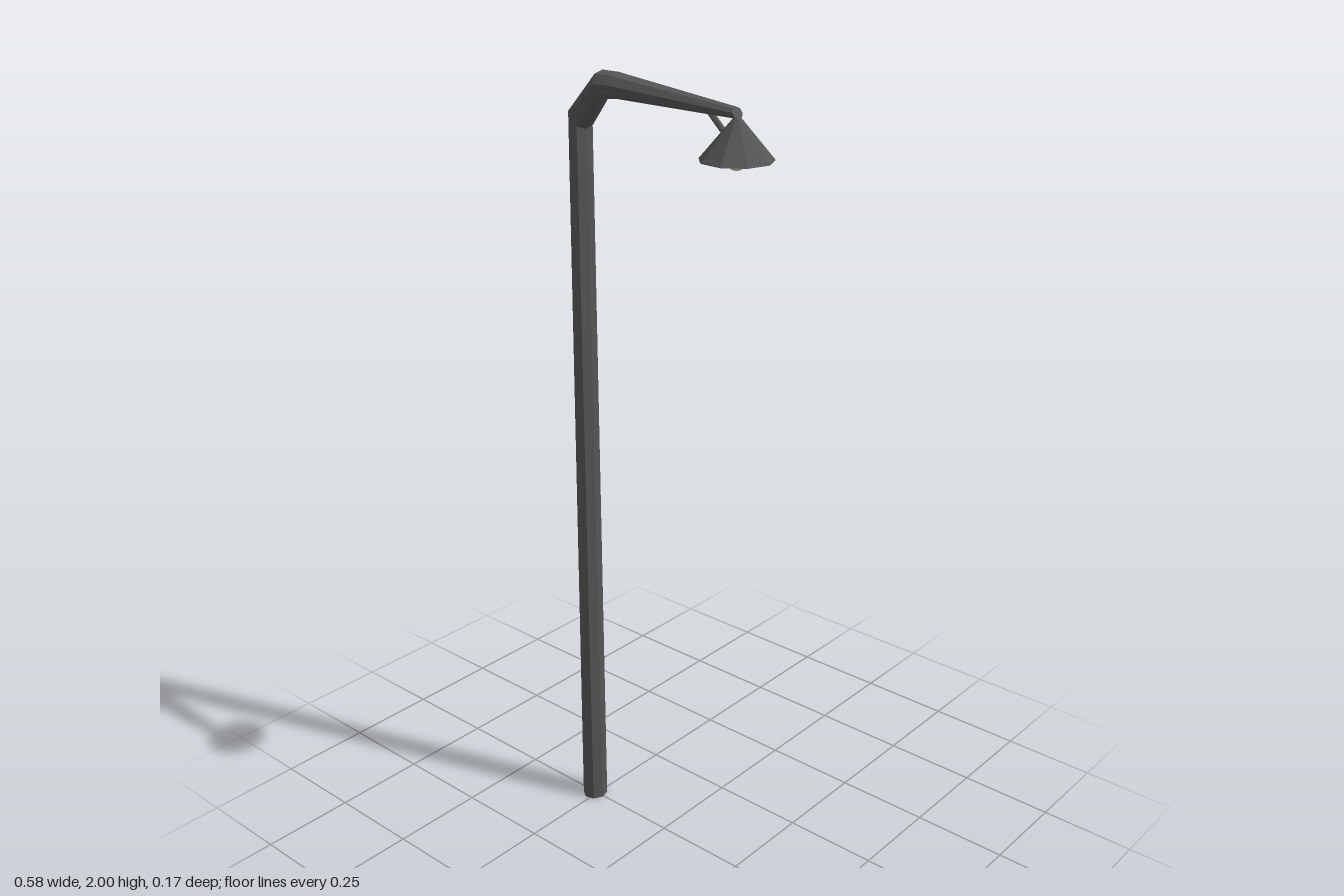
import * as THREE from 'three';

const metal = new THREE.MeshStandardMaterial({ color: 0x555555, flatShading: true, side: THREE.DoubleSide });
const glass = new THREE.MeshStandardMaterial({ color: 0xd6d8a4, flatShading: true });

// Eight-sided loft; each ring is [outer x, outer y, inner x, inner y, half depth]
function loft(rings, sides = 8, turn = -0.14) {
  const pos = [], idx = [];
  for (const [ox, oy, ix, iy, depth] of rings) {
    for (let i = 0; i < sides; i++) {
      const a = turn + (i / sides) * Math.PI * 2;
      const t = (1 - Math.cos(a)) / 2;
      pos.push(ox + (ix - ox) * t, oy + (iy - oy) * t, depth * Math.sin(a));
    }
  }
  for (let r = 0; r < rings.length - 1; r++) {
    for (let i = 0; i < sides; i++) {
      const a = r * sides + i, b = r * sides + ((i + 1) % sides);
      idx.push(a, b, b + sides, a, b + sides, a + sides);
    }
  }
  // End caps
  const last = (rings.length - 1) * sides;
  for (let i = 1; i < sides - 1; i++) {
    idx.push(0, i + 1, i, last, last + i, last + i + 1);
  }
  const g = new THREE.BufferGeometry();
  g.setAttribute('position', new THREE.Float32BufferAttribute(pos, 3));
  g.setIndex(idx);
  const flat = g.toNonIndexed();
  flat.computeVertexNormals();
  return flat;
}

export function createModel() {
  const group = new THREE.Group();
  group.name = 'streetLamp';
  const add = (name, geometry, material) => {
    const mesh = new THREE.Mesh(geometry, material);
    mesh.name = name;
    group.add(mesh);
    return mesh;
  };

  // Post bending over into the tapering arm
  add('postAndArm', loft([
    [-0.29, 0, -0.226, 0, 0.035],
    [-0.281, 1.905, -0.234, 1.862, 0.035],
    [-0.19, 2.0, -0.18, 1.937, 0.036],
    [-0.14, 2.0, -0.135, 1.941, 0.036],
    [0.2, 1.963, 0.213, 1.938, 0.017],
  ]), metal);

  // Thin brace from the arm down to the shade
  const from = new THREE.Vector3(0.125, 1.95, 0), to = new THREE.Vector3(0.185, 1.893, 0);
  const dir = to.clone().sub(from);
  const brace = add('brace', new THREE.CylinderGeometry(0.007, 0.007, dir.length(), 6), metal);
  brace.position.copy(from).add(to).multiplyScalar(0.5);
  brace.quaternion.setFromUnitVectors(new THREE.Vector3(0, 1, 0), dir.normalize());

  // Nine-sided open shade
  const shade = add('shade', new THREE.CylinderGeometry(0.005, 0.085, 0.095, 9, 1, true), metal);
  shade.position.set(0.207, 1.897, 0);
  shade.rotation.y = Math.PI / 2 + 0.08 - Math.PI / 2 + Math.PI / 2;

  // Bulb with its socket
  const socket = add('socket', new THREE.CylinderGeometry(0.01, 0.014, 0.05, 8), metal);
  socket.position.set(0.207, 1.895, 0);
  const bulb = add('bulb', new THREE.SphereGeometry(0.024, 8, 6), glass);
  bulb.position.set(0.207, 1.851, 0);

  return group;
}
